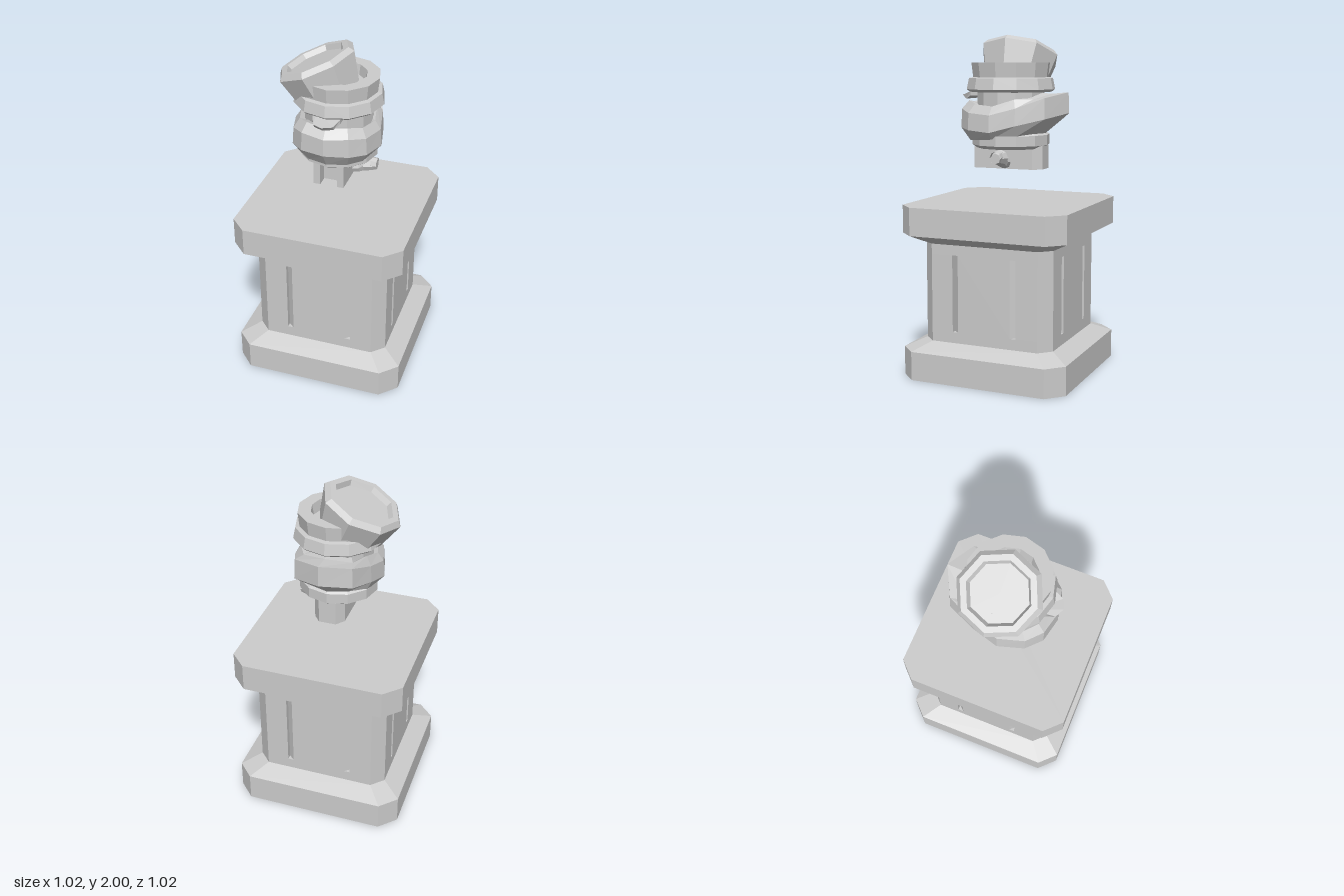
import * as THREE from 'three';

const grey = new THREE.MeshStandardMaterial({ color: 0xcccccc, flatShading: true, side: THREE.DoubleSide });

function add(parent, name, geometry) {
  const flat = geometry.index ? geometry.toNonIndexed() : geometry;
  flat.computeVertexNormals();
  const mesh = new THREE.Mesh(flat, grey);
  mesh.name = name;
  parent.add(mesh);
  return mesh;
}

function lathe(profile, sides) {
  return new THREE.LatheGeometry(profile.map(([r, y]) => new THREE.Vector2(r, y)), sides);
}

// Skin of quads through loops of equal length, anticlockwise seen from above
function loft(loops, caps) {
  const n = loops[0].length, index = [];
  for (let i = 0; i < loops.length - 1; i++) {
    for (let j = 0; j < n; j++) {
      const a = i * n + j, b = i * n + (j + 1) % n;
      index.push(a, b, b + n, a, b + n, a + n);
    }
  }
  if (caps) {
    const top = (loops.length - 1) * n;
    for (let j = 1; j < n - 1; j++) index.push(0, j + 1, j, top, top + j, top + j + 1);
  }
  const g = new THREE.BufferGeometry();
  g.setAttribute('position', new THREE.Float32BufferAttribute(loops.flat(2), 3));
  g.setIndex(index);
  return g;
}

// Square with cut corners: half width h, flat edge reaching to e
function cutSquare(h, e, y) {
  return [[-e, h], [e, h], [h, e], [h, -e], [e, -h], [-e, -h], [-h, -e], [-h, e]].map(([x, z]) => [x, y, z]);
}

// Extrude a ground plan (x, z) upward between two heights
function extrudeUp(points, y0, y1) {
  const shape = new THREE.Shape(points.map(([x, z]) => new THREE.Vector2(x, -z)));
  const g = new THREE.ExtrudeGeometry(shape, { depth: y1 - y0, bevelEnabled: false });
  return g.rotateX(-Math.PI / 2).translate(0, y0, 0);
}

function pedestal() {
  const group = new THREE.Group();
  group.name = 'pedestal';
  add(group, 'base', loft([
    cutSquare(0.51, 0.415, 0), cutSquare(0.51, 0.415, 0.17), cutSquare(0.4, 0.33, 0.22)], true));
  add(group, 'top', loft([
    cutSquare(0.4, 0.33, 0.8), cutSquare(0.51, 0.415, 0.855), cutSquare(0.51, 0.415, 1.02)], true));
  add(group, 'shaftBottom', loft([cutSquare(0.4, 0.33, 0.22), cutSquare(0.4, 0.33, 0.285)]));
  add(group, 'shaftTop', loft([cutSquare(0.4, 0.33, 0.74), cutSquare(0.4, 0.33, 0.8)]));

  // Middle of the shaft with two wedge-shaped slots on each side
  const side = [[0.4, -0.33], [0.4, -0.198], [0.37, -0.198], [0.4, -0.163],
    [0.4, 0.163], [0.37, 0.198], [0.4, 0.198], [0.4, 0.33]];
  const plan = [];
  for (let k = 0; k < 4; k++) {
    const c = Math.round(Math.cos(k * Math.PI / 2)), s = Math.round(Math.sin(k * Math.PI / 2));
    for (const [x, z] of side) plan.push([c * x - s * z, s * x + c * z]);
  }
  add(group, 'slottedShaft', extrudeUp(plan, 0.285, 0.74));
  return group;
}

function scarf() {
  // x, z, lower y, upper y, hem y, hem scale from front to tail
  const half = [
    [0, 0.29, 1.46, 1.56, 1.38, 0.82], [0.14, 0.26, 1.46, 1.57, 1.385, 0.82],
    [0.22, 0.18, 1.45, 1.55, 1.39, 0.85], [0.262, 0.03, 1.44, 1.54, 1.4, 0.86],
    [0.23, -0.12, 1.48, 1.58, 1.41, 0.85], [0.17, -0.28, 1.52, 1.64, 1.43, 0.65],
    [0, -0.365, 1.55, 1.67, 1.43, 0.6]];
  const ring = [...half, ...half.slice(1, -1).reverse().map(([x, ...rest]) => [-x, ...rest])];
  const loop = (f) => ring.map(([x, z, low, high, hem, s]) => f(x, z, low, high, hem, s));
  return loft([
    loop((x, z, low, high, hem, s) => [x * s * 0.7, hem + 0.02, z * s * 0.7]),
    loop((x, z, low, high, hem, s) => [x * s, hem, z * s]),
    loop((x, z, low) => [x, low, z]),
    loop((x, z, low, high) => [x * 0.97, high, z * 0.99]),
    loop((x, z, low, high) => [x * 0.84, z < -0.2 ? high - 0.01 : high + 0.05, z * (z < -0.2 ? 0.7 : 0.84)]),
    loop((x, z, low, high) => [x * 0.6, high, z * 0.4])]);
}

function bust() {
  const group = new THREE.Group();
  group.name = 'bust';
  add(group, 'head', lathe([[0, 1.34], [0.2, 1.34], [0.23, 1.36], [0.23, 1.42],
    [0.2, 1.44], [0.2, 1.7]], 12));
  add(group, 'headBand', lathe([[0.18, 1.67], [0.245, 1.67], [0.263, 1.685], [0.25, 1.75],
    [0.225, 1.755], [0.235, 1.84], [0.16, 1.84], [0.15, 1.78], [0, 1.78]], 12));
  add(group, 'scarf', scarf());

  // Neck with a groove down the front and cut corners at the back
  add(group, 'neck', extrudeUp([[-0.09, 0.2], [-0.05, 0.2], [-0.05, 0.13], [0.05, 0.13], [0.05, 0.2],
    [0.09, 0.2], [0.09, -0.17], [0.05, -0.22], [-0.05, -0.22], [-0.09, -0.17]], 1.22, 1.36));

  // Pointed visor below the head band
  const visor = (y, grow) => [[-0.08, y + 0.02, 0.15], [-0.08, y + 0.02, 0.23], [-0.055, y, 0.29 * grow],
    [0, y, 0.316 * grow], [0.055, y, 0.29 * grow], [0.08, y + 0.02, 0.23], [0.08, y + 0.02, 0.15]];
  add(group, 'visor', loft([visor(1.625, 0.93), visor(1.65, 1)], true));

  // Bent toggle at the left of the neck
  const path = new THREE.CurvePath();
  const bend = [[0.07, 1.255], [0.13, 1.265], [0.17, 1.3], [0.23, 1.295]].map(([x, y]) => new THREE.Vector3(x, y, 0));
  for (let i = 0; i < 3; i++) path.add(new THREE.LineCurve3(bend[i], bend[i + 1]));
  add(group, 'toggle', new THREE.TubeGeometry(path, 6, 0.036, 8));
  const knob = add(group, 'toggleKnob', new THREE.CylinderGeometry(0.03, 0.05, 0.07, 8));
  knob.rotation.z = -Math.PI / 2;
  knob.position.set(0.195, 1.29, 0);

  // Tilted eight-sided hat with a sunken top
  const hat = add(group, 'hat', lathe([[0, -0.2], [0.195, -0.2], [0.24, -0.03], [0.215, 0],
    [0.18, 0], [0.165, -0.03], [0, -0.03]], 8));
  hat.position.set(-0.145, 1.912, 0);
  hat.rotation.z = 0.42;
  return group;
}

export function createModel() {
  const model = new THREE.Group();
  model.name = 'bustOnPedestal';
  model.add(pedestal(), bust());
  return model;
}
